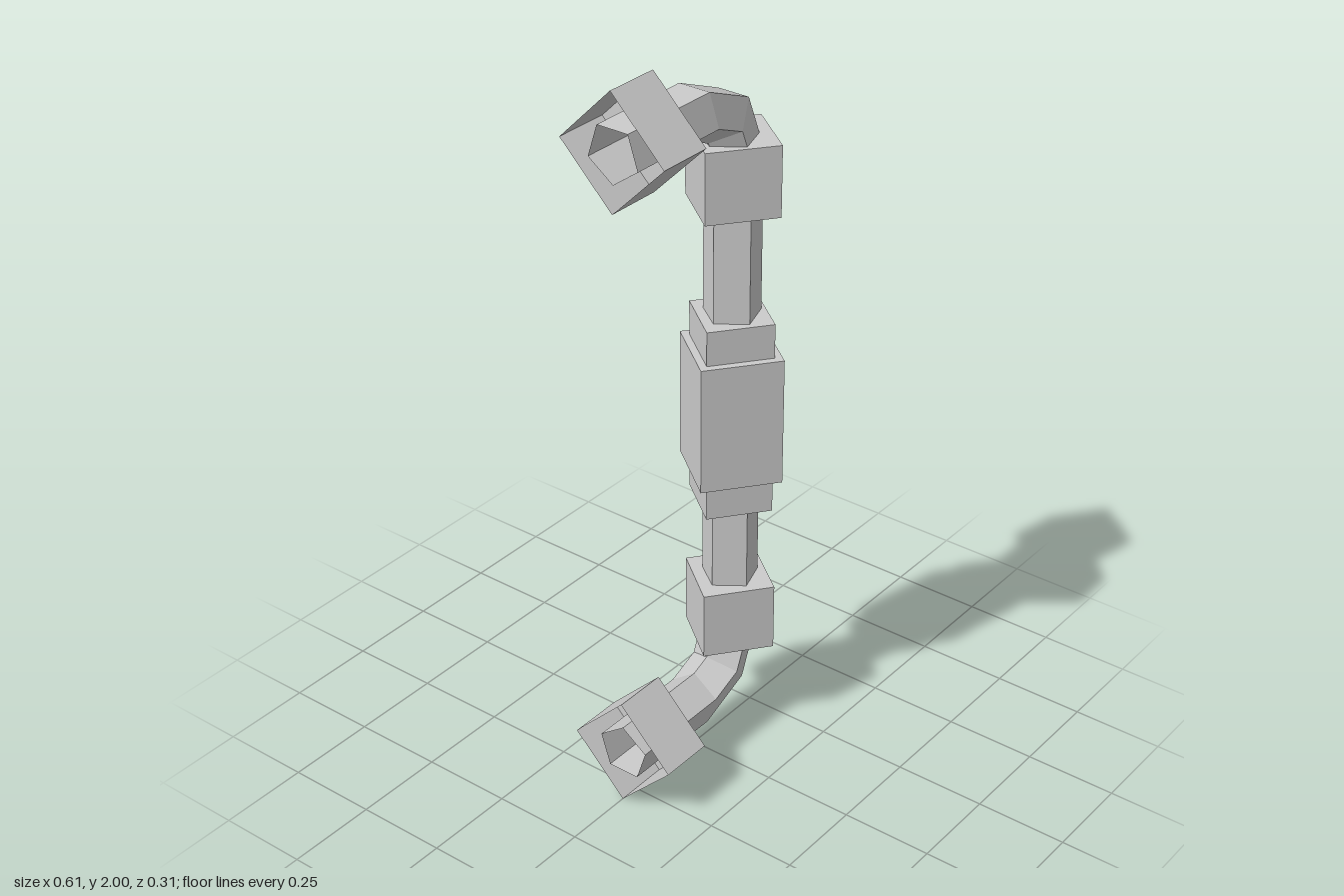
import * as THREE from 'three';

const R = 0.153;            // bend radius, also the x of the upright bar
const PIPE = 0.0765;        // pipe radius
const LOW = 0.305, HIGH = 1.69; // heights of the two bend centres

const material = new THREE.MeshStandardMaterial({
  color: 0xcccccc, flatShading: true, side: THREE.DoubleSide,
});

function add(parent, name, geometry) {
  const mesh = new THREE.Mesh(geometry, material);
  mesh.name = name;
  parent.add(mesh);
  return mesh;
}

// Five-sided open pipe: straight stub, two-step bend, upright, bend, stub
function pipeGeometry() {
  const sides = 5;
  const stations = [];      // [x, y, angle of the outward direction]
  const arc = (cy, angle) =>
    stations.push([R * Math.cos(angle), cy + R * Math.sin(angle), angle]);
  stations.push([-0.3, HIGH + R, Math.PI / 2]);
  for (let i = 2; i >= 0; i--) arc(HIGH, i * Math.PI / 4);
  for (let i = 0; i >= -2; i--) arc(LOW, i * Math.PI / 4);
  stations.push([-0.3, LOW - R, -Math.PI / 2]);

  const positions = [], index = [];
  stations.forEach(([x, y, angle], s) => {
    for (let k = 0; k < sides; k++) {
      // a flat side lies on the outside of the bend
      const a = (k + 0.5) * 2 * Math.PI / sides;
      const out = PIPE * Math.cos(a);
      positions.push(x + out * Math.cos(angle), y + out * Math.sin(angle), PIPE * Math.sin(a));
      if (s > 0) {
        const n = (k + 1) % sides;
        const p = (s - 1) * sides, q = s * sides;
        index.push(p + k, p + n, q + k, p + n, q + n, q + k);
      }
    }
  });
  const geometry = new THREE.BufferGeometry();
  geometry.setAttribute('position', new THREE.Float32BufferAttribute(positions, 3));
  geometry.setIndex(index);
  const flat = geometry.toNonIndexed();
  flat.computeVertexNormals();
  return flat;
}

// Square block threaded on the upright, slightly turned
function block(parent, name, radius, y0, y1) {
  const mesh = add(parent, name, new THREE.CylinderGeometry(radius, radius, y1 - y0, 4));
  mesh.position.set(R, (y0 + y1) / 2, 0);
  mesh.rotation.y = 0.125;
}

// Diamond-shaped mount: hollow, closed where the pipe enters, open at the wall
function mount(parent, name, y) {
  const group = new THREE.Group();
  group.name = name;
  const r = 0.1525, length = 0.153;
  const shell = add(group, 'mountShell', new THREE.CylinderGeometry(r, r, length, 4, 1, true));
  shell.rotation.z = -Math.PI / 2;
  const plate = add(group, 'mountPlate', new THREE.CircleGeometry(r, 4));
  plate.rotation.y = Math.PI / 2;
  plate.position.x = length / 2;
  group.position.set(-0.2285, y, 0);
  parent.add(group);
}

export function createModel() {
  const model = new THREE.Group();
  model.name = 'doorHandle';

  add(model, 'pipe', pipeGeometry());

  block(model, 'lowerBlock', 0.135, 0.28, 0.47);
  block(model, 'lowerCollar', 0.124, 0.705, 0.8);
  block(model, 'grip', 0.152, 0.8, 1.155);
  block(model, 'upperCollar', 0.124, 1.155, 1.25);
  block(model, 'upperBlock', 0.135, 1.545, 1.735);

  mount(model, 'lowerMount', 0.1525);
  mount(model, 'upperMount', 1.8475);

  return model;
}
